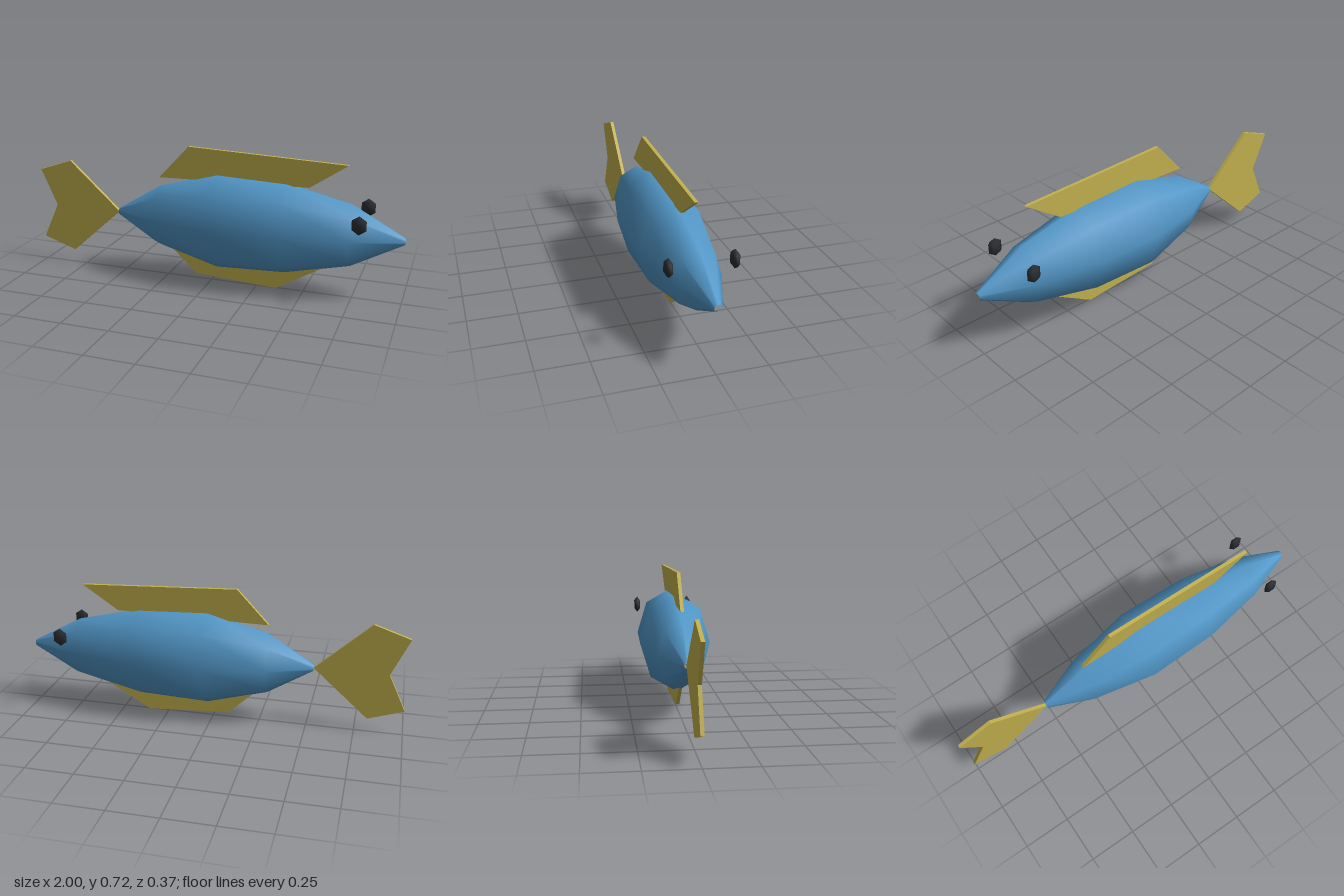
import * as THREE from 'three';
import { mergeVertices } from 'three/addons/utils/BufferGeometryUtils.js';

const CENTER_Y = 0.333;

function material(name, color) {
  const m = new THREE.MeshStandardMaterial({ color });
  m.name = name;
  return m;
}

// Eight-sided tapered tube along x, open at the nose and the tail
function bodyGeometry() {
  // x, half height, half width
  const stations = [
    [-0.53, 0.017, 0.02],
    [-0.29, 0.165, 0.12],
    [0.03, 0.256, 0.185],
    [0.4, 0.241, 0.176],
    [0.735, 0.161, 0.117],
    [1.0, 0.017, 0.02],
  ];
  const rows = stations.length - 1;
  let geo = new THREE.CylinderGeometry(1, 1, 1, 8, rows, true);
  geo.rotateZ(-Math.PI / 2);
  const p = geo.attributes.position;
  for (let i = 0; i < p.count; i++) {
    const [x, ry, rz] = stations[Math.round((p.getX(i) + 0.5) * rows)];
    p.setXYZ(i, x, CENTER_Y + p.getY(i) * ry, p.getZ(i) * rz);
  }
  // Weld the seam so shading is smooth all round
  geo.deleteAttribute('normal');
  geo.deleteAttribute('uv');
  geo = mergeVertices(geo, 1e-4);
  geo.computeVertexNormals();
  return geo;
}

// Flat fin cut from an outline in the middle plane
function finGeometry(points) {
  const depth = 0.018;
  const shape = new THREE.Shape(points.map(([x, y]) => new THREE.Vector2(x, y)));
  const geo = new THREE.ExtrudeGeometry(shape, { depth, bevelEnabled: false });
  geo.translate(0, 0, -depth / 2);
  return geo;
}

export function createModel() {
  const model = new THREE.Group();
  model.name = 'fish';
  const blue = material('bodyBlue', 0x5297c8);
  const yellow = material('finYellow', 0xc4b24e);
  const dark = material('eyeDark', 0x2a2d31);

  const add = (name, geo, mat) => {
    const mesh = new THREE.Mesh(geo, mat);
    mesh.name = name;
    model.add(mesh);
    return mesh;
  };

  add('body', bodyGeometry(), blue);

  // Fins
  const fins = {
    dorsalFin: [[-0.29, 0.546], [0.515, 0.562], [0.705, 0.69], [-0.125, 0.723]],
    bellyFin: [[-0.24, 0.175], [-0.085, 0.03], [0.355, 0.002], [0.62, 0.158]],
    tailFin: [[-0.53, 0.333], [-0.815, 0.593], [-1, 0.53], [-0.91, 0.333], [-1, 0.14], [-0.815, 0.078]],
  };
  for (const [name, points] of Object.entries(fins)) add(name, finGeometry(points), yellow);

  // Eyes, flattened towards the head
  const eyeGeo = new THREE.SphereGeometry(1, 6, 3);
  eyeGeo.scale(0.041, 0.048, 0.022);
  for (const [name, side] of [['leftEye', -1], ['rightEye', 1]]) {
    add(name, eyeGeo, dark).position.set(0.79, 0.439, side * 0.154);
  }

  return model;
}
